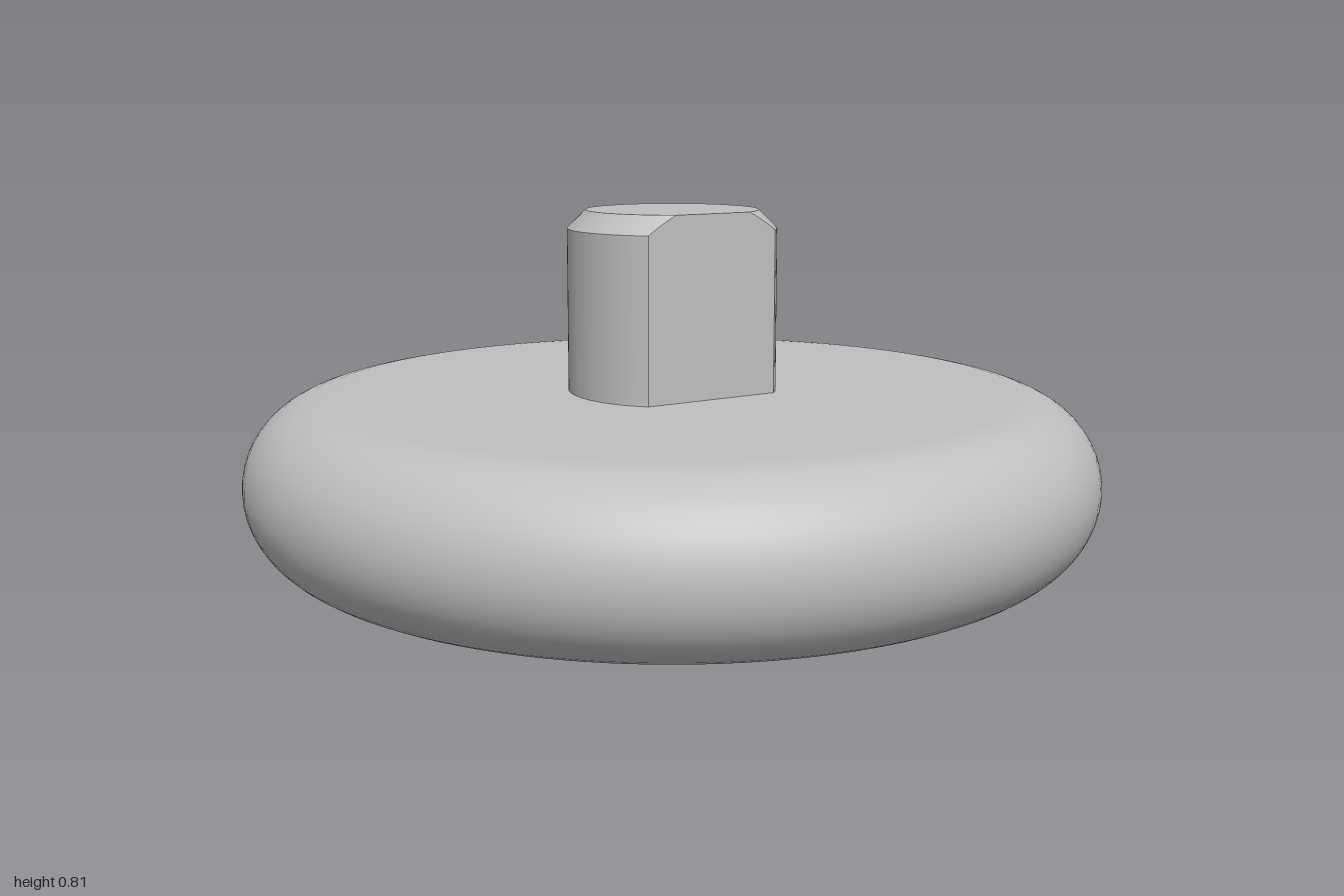
import * as THREE from 'three';
import { toCreasedNormals } from 'three/addons/utils/BufferGeometryUtils.js';

const HEIGHT = 0.385; // disc thickness
const FLAT_Z = 0.178; // plane of the flat cut into the shaft

// Round disc with a fully rounded rim
function discGeometry() {
  const r = HEIGHT / 2;
  const points = [new THREE.Vector2(0, 0), new THREE.Vector2(0.8, 0)];
  for (let i = 0; i <= 24; i++) {
    const a = -Math.PI / 2 + (Math.PI * i) / 24;
    points.push(new THREE.Vector2(1 - r + r * Math.cos(a), r + r * Math.sin(a)));
  }
  points.push(new THREE.Vector2(0.8, HEIGHT), new THREE.Vector2(0, HEIGHT));
  return new THREE.LatheGeometry(points, 128);
}

// Chamfered shaft: D-shaped rings, each an arc closed by a chord on the flat
function shaftGeometry() {
  const count = 80;
  const rings = [[0.246, HEIGHT - 0.01]];
  for (let i = 0; i <= 6; i++) rings.push([0.246 - (0.043 * i) / 6, 0.767 + (0.043 * i) / 6]);

  const positions = [];
  const index = [];
  rings.forEach(([r, y], row) => {
    const start = Math.acos(FLAT_Z / r);
    for (let j = 0; j < count; j++) {
      const t = start + ((2 * Math.PI - 2 * start) * j) / (count - 1);
      positions.push(r * Math.sin(t), y, r * Math.cos(t));
      if (row === 0) continue;
      const k = (j + 1) % count;
      const a = (row - 1) * count + j, b = (row - 1) * count + k;
      const c = row * count + k, d = row * count + j;
      index.push(a, b, c, a, c, d);
    }
  });

  // Top cap
  const centre = positions.length / 3;
  const last = (rings.length - 1) * count;
  positions.push(0, rings[rings.length - 1][1], 0);
  for (let j = 0; j < count; j++) index.push(centre, last + j, last + ((j + 1) % count));

  const geometry = new THREE.BufferGeometry();
  geometry.setAttribute('position', new THREE.Float32BufferAttribute(positions, 3));
  geometry.setIndex(index);
  return toCreasedNormals(geometry, 0.4);
}

export function createModel() {
  const grey = new THREE.MeshStandardMaterial({ color: 0xc0c0c0 });
  grey.name = 'grey';

  const model = new THREE.Group();
  model.name = 'discWithShaft';
  const disc = new THREE.Mesh(discGeometry(), grey);
  disc.name = 'disc';
  const shaft = new THREE.Mesh(shaftGeometry(), grey);
  shaft.name = 'shaft';
  model.add(disc, shaft);
  return model;
}
